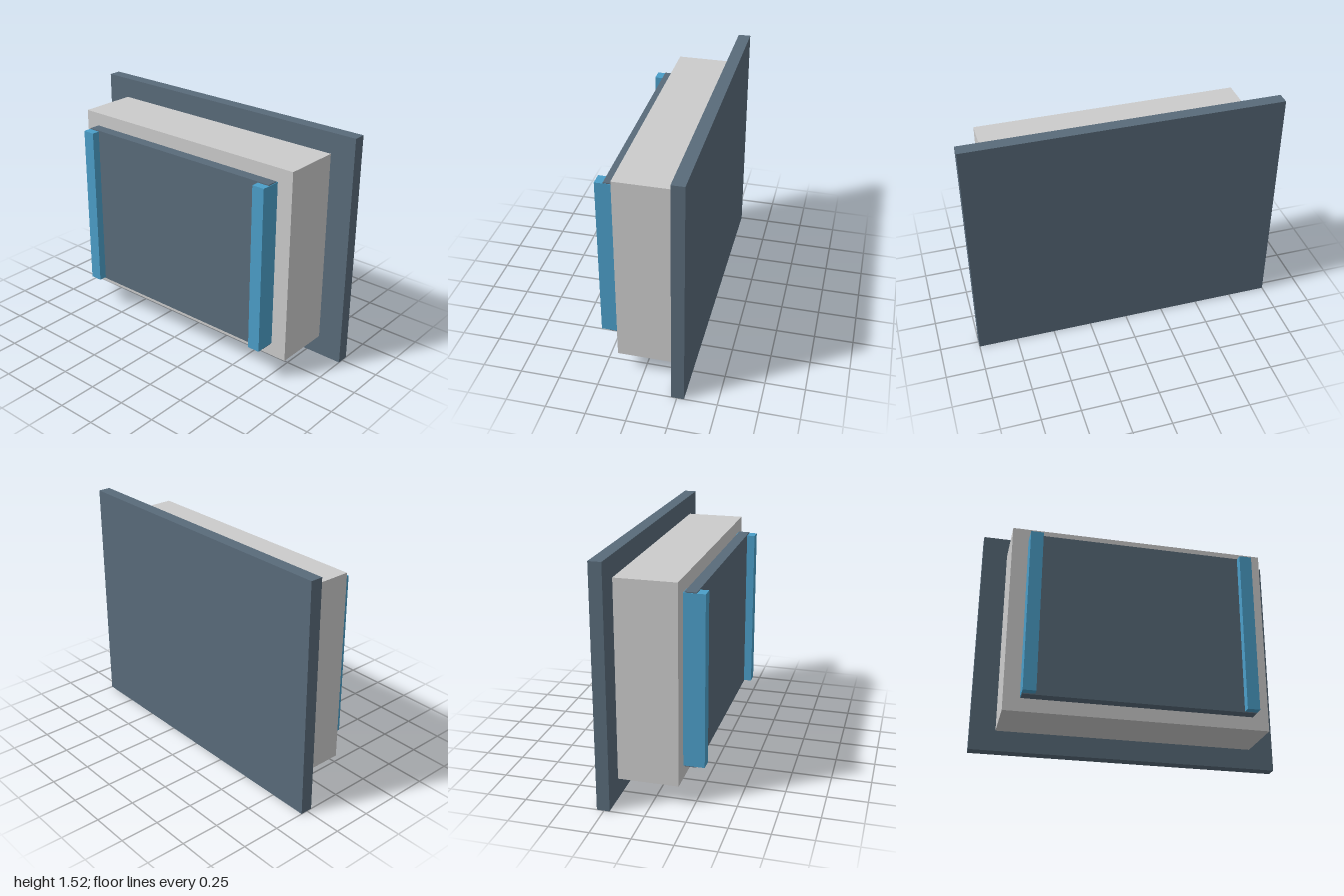
import * as THREE from 'three';

export function createModel() {
  const group = new THREE.Group();
  const grey = new THREE.MeshStandardMaterial({ color: 0xcccccc });
  const slate = new THREE.MeshStandardMaterial({ color: 0x596b7a });
  const blue = new THREE.MeshStandardMaterial({ color: 0x4b9ec8 });

  // Box given by its extents along each axis
  function box(name, material, [x0, x1], [y0, y1], [z0, z1]) {
    const mesh = new THREE.Mesh(new THREE.BoxGeometry(x1 - x0, y1 - y0, z1 - z0), material);
    mesh.position.set((x0 + x1) / 2, (y0 + y1) / 2, (z0 + z1) / 2);
    mesh.name = name;
    group.add(mesh);
    return mesh;
  }

  // Wide plate at the back and the housing in front of it
  box('backPlate', slate, [-1, 1], [0, 1.52], [-0.295, -0.215]);
  box('housing', grey, [-0.838, 0.838], [0.132, 1.388], [-0.215, 0.163]);

  // Raised panel, set just clear of the housing
  box('frontPanel', slate, [-0.732, 0.732], [0.214, 1.306], [0.171, 0.243]);

  // Upright rails holding the panel's sides
  box('leftRail', blue, [0.654, 0.735], [0.22, 1.3], [0.163, 0.295]);
  box('rightRail', blue, [-0.735, -0.654], [0.22, 1.3], [0.163, 0.295]);

  return group;
}
